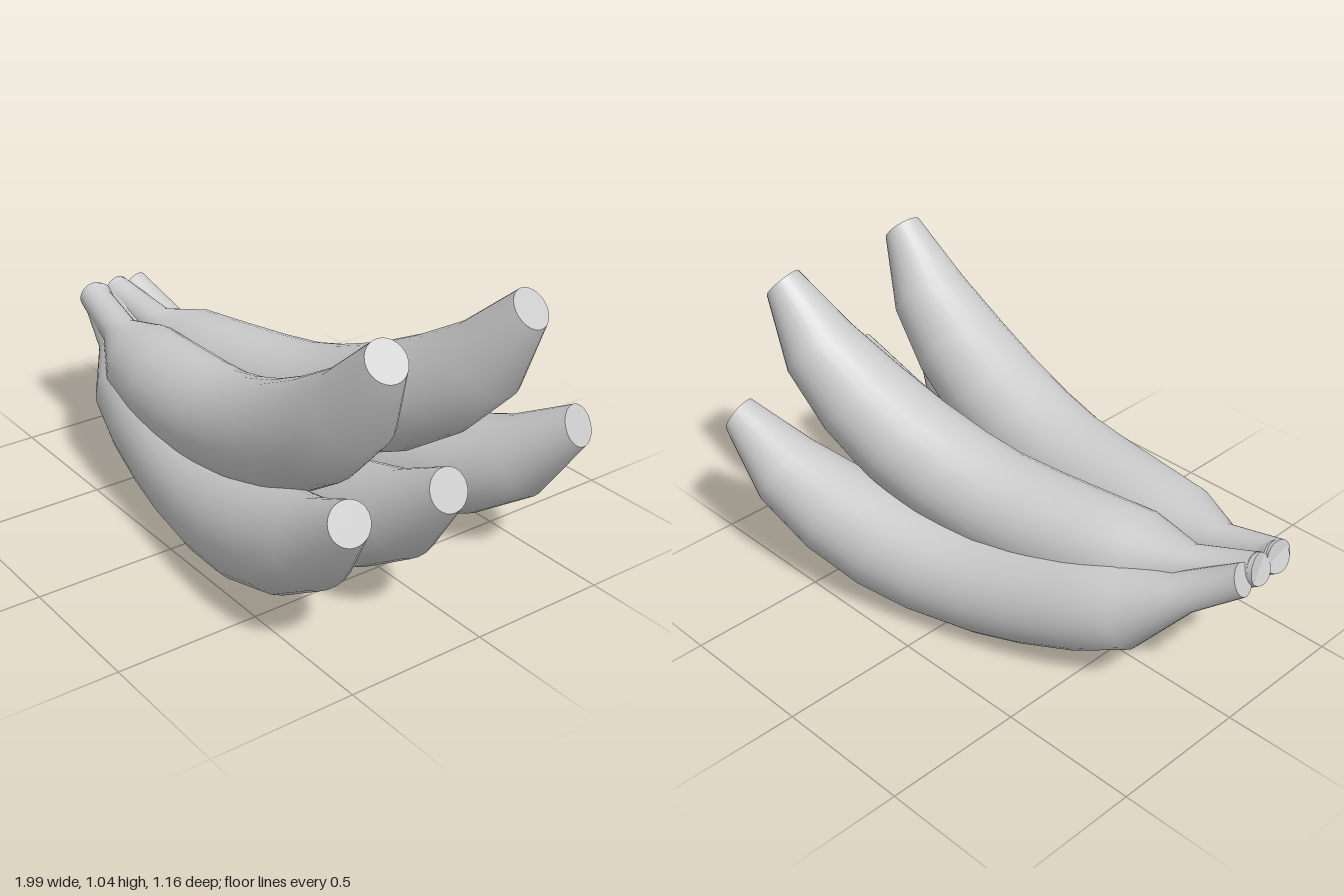
import * as THREE from 'three';

const SIDES = 28;
const STEM_X = -0.97, STEM_Y = 0.53;

// Lower and upper edge of the banana at each section: [xLow, yLow, xHigh, yHigh]
const SECTIONS = [
  [-1.0, 0.485, -0.955, 0.585],
  [-0.83, 0.36, -0.74, 0.464],
  [-0.65, 0.155, -0.56, 0.465],
  [-0.47, 0.08, -0.37, 0.425],
  [-0.27, 0.03, -0.18, 0.39],
  [-0.09, 0.003, -0.03, 0.37],
  [0.19, 0.003, 0.1, 0.37],
  [0.4, 0.035, 0.28, 0.388],
  [0.62, 0.115, 0.48, 0.43],
  [0.83, 0.25, 0.69, 0.492],
  [0.985, 0.48, 0.92, 0.605],
];

// One banana with its stem end at the origin, running along +x
function bananaGeometry() {
  const positions = [], indices = [];
  const addRing = ([x0, y0, x1, y1]) => {
    const start = positions.length / 3;
    const cx = (x0 + x1) / 2 - STEM_X, cy = (y0 + y1) / 2 - STEM_Y;
    const ux = (x1 - x0) / 2, uy = (y1 - y0) / 2, r = Math.hypot(ux, uy);
    for (let j = 0; j < SIDES; j++) {
      const t = (j / SIDES) * Math.PI * 2;
      positions.push(cx + ux * Math.cos(t), cy + uy * Math.cos(t), r * Math.sin(t));
    }
    return { start, cx, cy };
  };

  // Skin
  const rings = SECTIONS.map(addRing);
  for (let i = 0; i < rings.length - 1; i++) {
    for (let j = 0; j < SIDES; j++) {
      const k = (j + 1) % SIDES;
      const a = rings[i].start, b = rings[i + 1].start;
      indices.push(a + j, a + k, b + j, a + k, b + k, b + j);
    }
  }

  // Flat cut ends, on their own rings so the rim stays sharp
  const addCap = (section, facesForward) => {
    const { start, cx, cy } = addRing(section);
    const centre = positions.length / 3;
    positions.push(cx, cy, 0);
    for (let j = 0; j < SIDES; j++) {
      const p = start + j, q = start + ((j + 1) % SIDES);
      indices.push(centre, ...(facesForward ? [p, q] : [q, p]));
    }
  };
  addCap(SECTIONS[0], false);
  addCap(SECTIONS[SECTIONS.length - 1], true);

  const geometry = new THREE.BufferGeometry();
  geometry.setAttribute('position', new THREE.Float32BufferAttribute(positions, 3));
  geometry.setIndex(indices);
  geometry.computeVertexNormals();
  return geometry;
}

export function createModel() {
  const group = new THREE.Group();
  group.name = 'bananaBunch';
  const material = new THREE.MeshStandardMaterial({ color: 0xcccccc });
  const geometry = bananaGeometry();

  // Fan of bananas: [name, stem z, tip z, upward pitch]
  const bunch = [
    ['lowerBananaBack', 0.03, -0.49, 0],
    ['lowerBananaMiddle', 0.11, 0.115, 0],
    ['lowerBananaFront', 0.2, 0.47, 0],
    ['upperBananaBack', 0.11, -0.28, 0.237],
    ['upperBananaFront', 0.21, 0.32, 0.237],
  ];
  for (const [name, stemZ, tipZ, pitch] of bunch) {
    const banana = new THREE.Mesh(geometry, material);
    banana.name = name;
    banana.position.set(STEM_X, STEM_Y, stemZ);
    banana.rotation.set(0, -Math.asin((tipZ - stemZ) / 1.92), pitch);
    group.add(banana);
  }
  return group;
}
